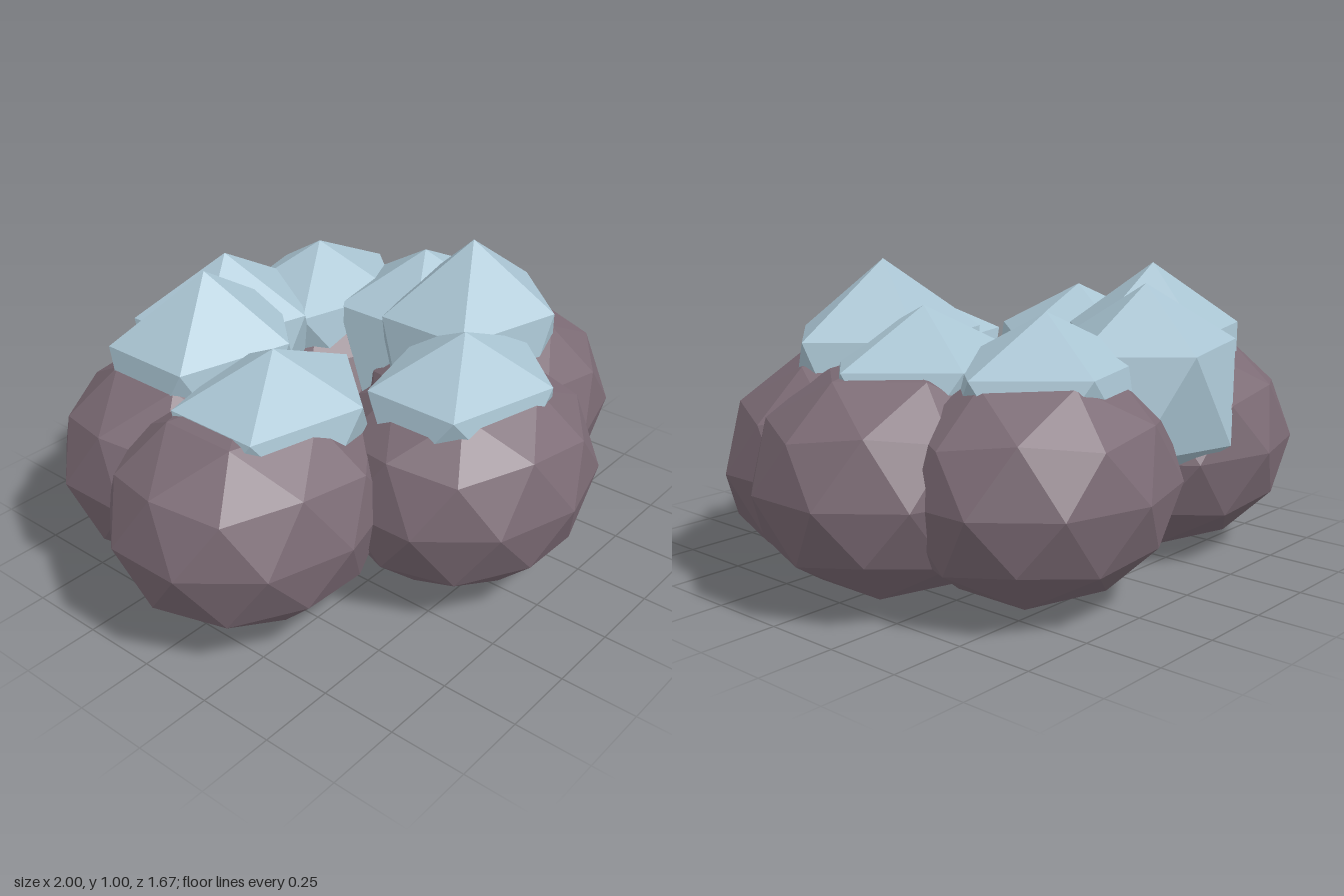
import * as THREE from 'three';

// Icosahedron with a corner pointing straight up and one upper corner towards +x
function gem(rx, ry, rz, detail) {
  const geometry = new THREE.IcosahedronGeometry(1, detail);
  geometry.rotateZ(-Math.atan(2 / (1 + Math.sqrt(5))));
  geometry.scale(rx, ry, rz);
  geometry.computeVertexNormals();
  return geometry;
}

export function createModel() {
  const group = new THREE.Group();
  const rock = new THREE.MeshStandardMaterial({ color: 0x7c6b75, flatShading: true });
  rock.name = 'mauve stone';
  const ice = new THREE.MeshStandardMaterial({ color: 0xa9c4d2, flatShading: true });
  ice.name = 'pale blue';

  // Ring of faceted boulders: [x, z]
  const boulders = [
    [0.04, 0.41], [-0.548, 0.02], [-0.41, -0.36],
    [0.33, -0.42], [0.548, -0.05], [0.455, 0.195],
  ];
  const boulderShape = gem(0.475, 0.375, 0.42, 1);
  boulders.forEach(([x, z], i) => {
    const mesh = new THREE.Mesh(boulderShape, rock);
    mesh.name = `boulder${i + 1}`;
    mesh.position.set(x, 0.376, z);
    group.add(mesh);
  });

  // Pointed caps sunk into the boulders: [x, z, vertical radius]
  const caps = [
    [0.04, 0.395, 0.267], [-0.435, 0.03, 0.275], [-0.335, -0.36, 0.385],
    [-0.12, -0.485, 0.345], [0.27, -0.405, 0.29], [0.435, -0.06, 0.295],
    [0.37, 0.185, 0.415],
  ];
  caps.forEach(([x, z, ry], i) => {
    const mesh = new THREE.Mesh(gem(0.38, ry, 0.31, 0), ice);
    mesh.name = `cap${i + 1}`;
    mesh.position.set(x, 0.585, z);
    group.add(mesh);
  });

  return group;
}
